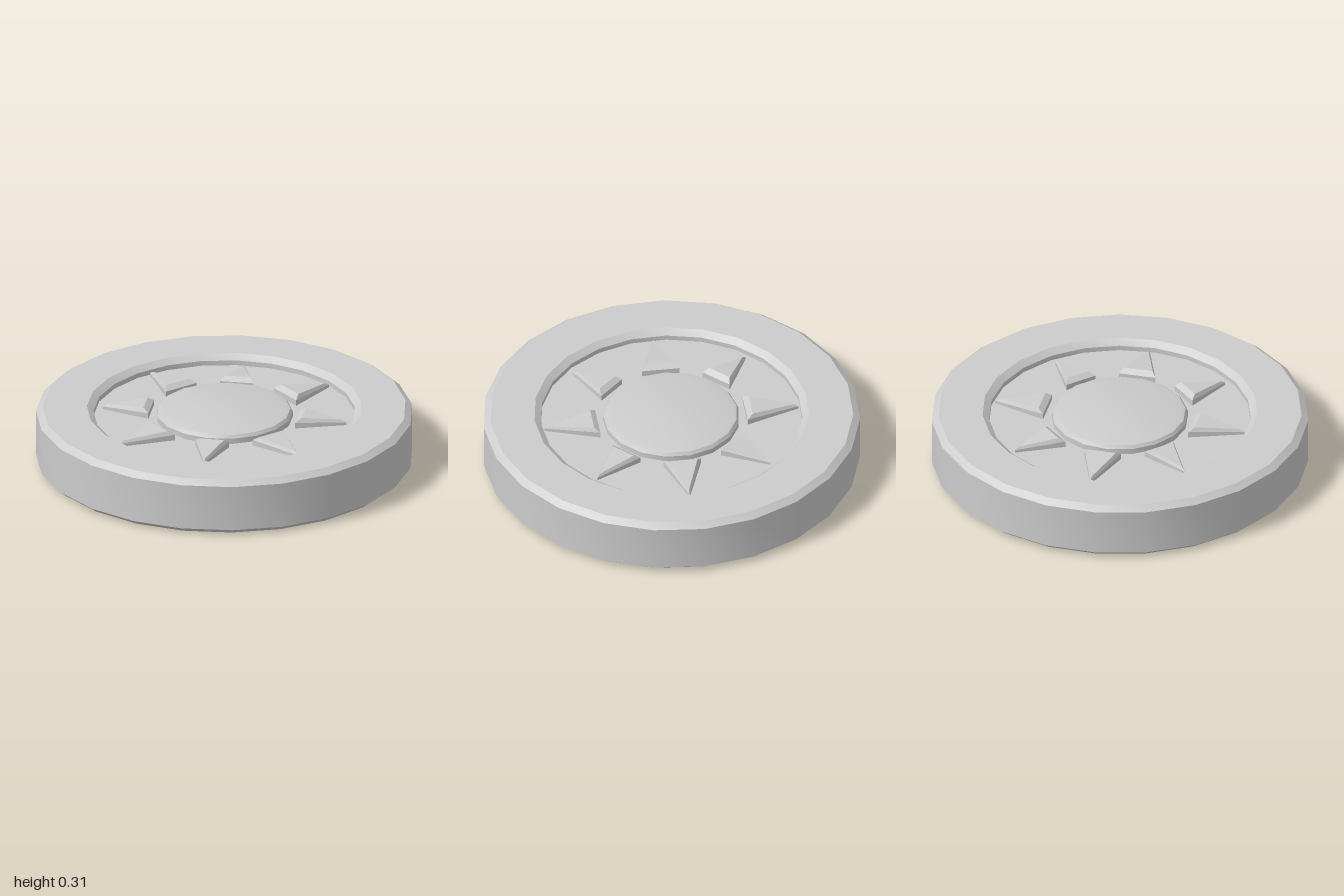
import * as THREE from 'three';
import { toCreasedNormals } from 'three/addons/utils/BufferGeometryUtils.js';

const H = 0.305;      // overall thickness
const FLOOR = 0.25;   // height of the recessed face
const material = new THREE.MeshStandardMaterial({ color: 0xcccccc });

function mesh(geometry, name) {
  const m = new THREE.Mesh(geometry, material);
  m.name = name;
  return m;
}

function lathe(points, sides, start) {
  const profile = points.map(([r, y]) => new THREE.Vector2(r, y));
  return toCreasedNormals(new THREE.LatheGeometry(profile, sides, start), 0.5);
}

// Three-sided ray along +x: vertical sides, bevelled edges, top falling to the tip
function rayGeometry(tip, half) {
  const rings = [
    [[0.395, FLOOR - 0.01, half], [tip, FLOOR - 0.01, 0], [0.395, FLOOR - 0.01, -half]],
    [[0.395, 0.282, half], [tip, 0.265, 0], [0.395, 0.282, -half]],
    [[0.425, 0.303, half - 0.022], [tip - 0.025, 0.28, 0], [0.425, 0.303, -half + 0.022]],
  ];
  const index = [6, 7, 8, 0, 2, 1];
  for (let k = 0; k < 2; k++) {
    for (let i = 0; i < 3; i++) {
      const a = k * 3 + i, b = k * 3 + (i + 1) % 3;
      index.push(a, b, b + 3, a, b + 3, a + 3);
    }
  }
  const g = new THREE.BufferGeometry();
  g.setAttribute('position', new THREE.Float32BufferAttribute(rings.flat(2), 3));
  g.setIndex(index);
  return toCreasedNormals(g, 0.3);
}

// Raised sun emblem for one face
function sunFace(name) {
  const face = new THREE.Group();
  face.name = name;
  const disc = [[0.362, FLOOR - 0.01], [0.362, 0.28], [0.35, 0.297], [0.33, 0.303], [0, 0.303]];
  face.add(mesh(lathe(disc, 17, -Math.PI / 2), 'sunDisc'));
  for (let i = 0; i < 8; i++) {
    const diagonal = i % 2 === 1;
    const ray = mesh(rayGeometry(diagonal ? 0.68 : 0.655, diagonal ? 0.1 : 0.09), 'sunRay');
    ray.rotation.y = i * Math.PI / 4;
    face.add(ray);
  }
  return face;
}

export function createModel() {
  const group = new THREE.Group();
  group.name = 'sunMedallion';

  // Coin body with chamfered rim and a recess on both faces
  const upper = [[1, H - 0.028], [0.965, H], [0.73, H], [0.695, H - 0.028], [0.695, FLOOR], [0, FLOOR]];
  const lower = upper.map(([r, y]) => [r, H - y]).reverse();
  group.add(mesh(lathe([...lower, ...upper], 23, Math.PI / 2), 'body'));

  // Emblem on top, and the same turned over underneath
  group.add(sunFace('topSun'));
  const bottom = sunFace('bottomSun');
  bottom.rotation.x = Math.PI;
  bottom.position.y = H;
  group.add(bottom);
  return group;
}
